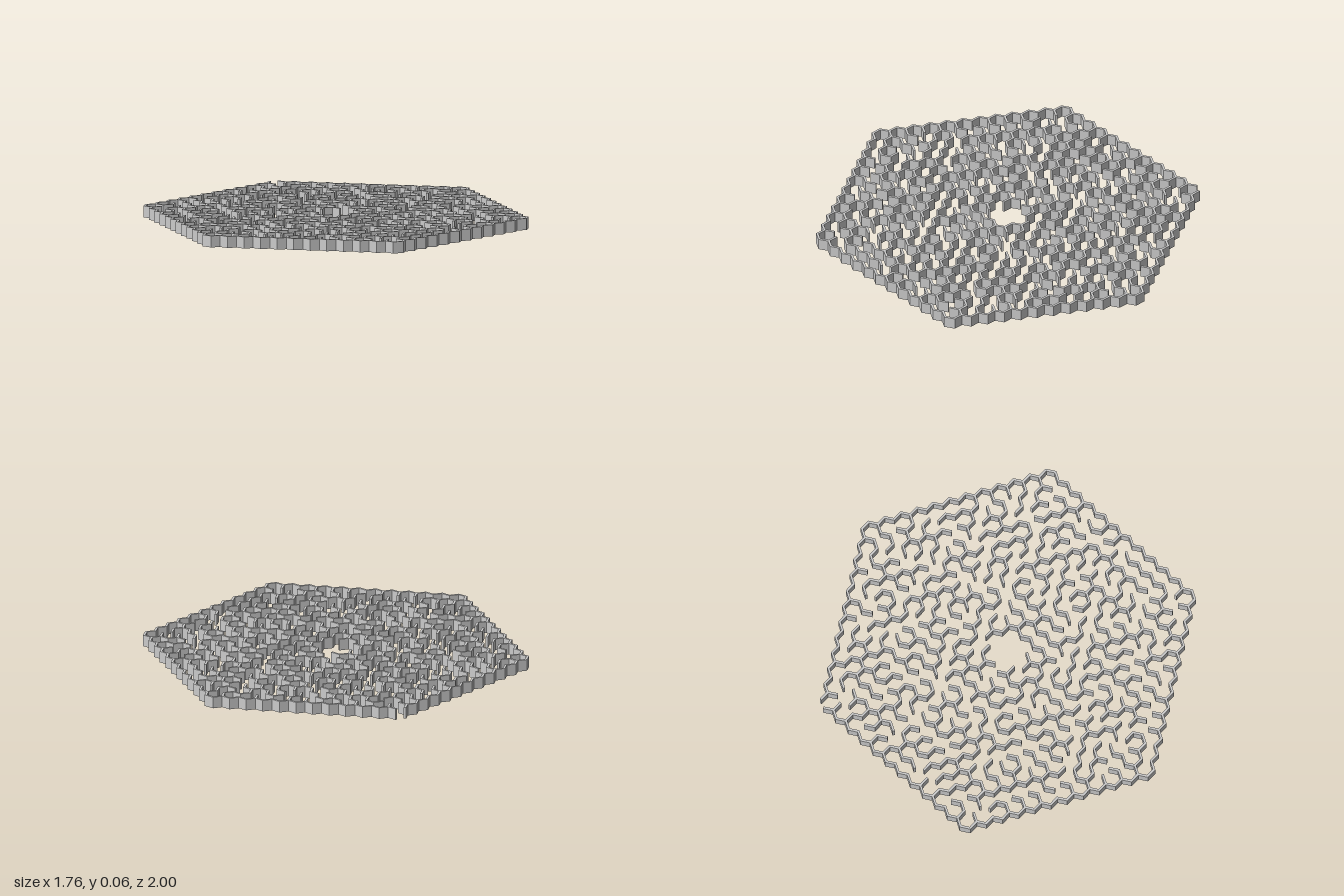
import * as THREE from 'three';
import { mergeGeometries } from 'three/addons/utils/BufferGeometryUtils.js';

const RINGS = 11;          // rings of hexagonal cells around the middle one
const SIDE = 0.0499;       // cell side
const THICK = 0.012;
const HEIGHT = 0.06;
const DIRS = [[1, 0], [0, 1], [1, -1], [-1, 0], [0, -1], [-1, 1]];

function seeded(seed) {
  return () => {
    seed = (seed * 1664525 + 1013904223) % 4294967296;
    return seed / 4294967296;
  };
}

const ringOf = (q, r) => Math.max(Math.abs(q), Math.abs(r), Math.abs(q + r));
const key = (q, r) => q * 100 + r;
const centre = (q, r) => [1.5 * SIDE * q, Math.sqrt(3) * SIDE * (r + q / 2)];

// One upright wall panel on the border between two neighbouring cells;
// the extra length closes the 120 degree corners.
function wallPanel({ q, r, dq, dr }) {
  const [x, z] = centre(q, r);
  const [dx, dz] = centre(dq, dr);
  const panel = new THREE.BoxGeometry(SIDE + THICK / Math.sqrt(3), HEIGHT, THICK);
  panel.rotateY(Math.atan2(-dx, -dz));
  return panel.translate(x + dx / 2, HEIGHT / 2, z + dz / 2);
}

export function createModel() {
  const group = new THREE.Group();
  group.name = 'hexagonalMaze';
  const random = seeded(7);

  // Collect the borders of all cells: outer ones and shared inner ones
  const outer = [], inner = [], parent = new Map();
  for (let q = -RINGS; q <= RINGS; q++) {
    for (let r = -RINGS; r <= RINGS; r++) {
      if (ringOf(q, r) > RINGS) continue;
      parent.set(key(q, r), key(q, r));
      DIRS.forEach(([dq, dr], i) => {
        const border = { q, r, dq, dr, order: random() };
        if (ringOf(q + dq, r + dr) > RINGS) outer.push(border);
        else if (i < 3) inner.push(border);
      });
    }
  }

  const root = (k) => {
    while (parent.get(k) !== k) k = parent.get(k);
    return k;
  };
  const inRoom = (q, r) => ringOf(q, r) <= 1;

  // Open the seven-cell room in the middle, then join all cells into a tree
  for (const [dq, dr] of DIRS) parent.set(key(dq, dr), key(0, 0));
  inner.sort((a, b) => a.order - b.order);
  const mazeBorders = inner.filter(({ q, r, dq, dr }) => {
    if (inRoom(q, r) && inRoom(q + dq, r + dr)) return false;
    const a = root(key(q, r)), b = root(key(q + dq, r + dr));
    if (a === b) return true;
    parent.set(a, b);
    return false;
  });

  // Leave the entrance open at the back corner
  const rimBorders = outer.filter(({ q, r, dq, dr }) =>
    !(q === 0 && r === -RINGS && dq === 0 && dr === -1));

  const material = new THREE.MeshStandardMaterial({ color: 0xcccccc, flatShading: true });
  const addWalls = (name, borders) => {
    const mesh = new THREE.Mesh(mergeGeometries(borders.map(wallPanel)), material);
    mesh.name = name;
    group.add(mesh);
  };
  addWalls('outerWall', rimBorders);
  addWalls('mazeWalls', mazeBorders);
  return group;
}
